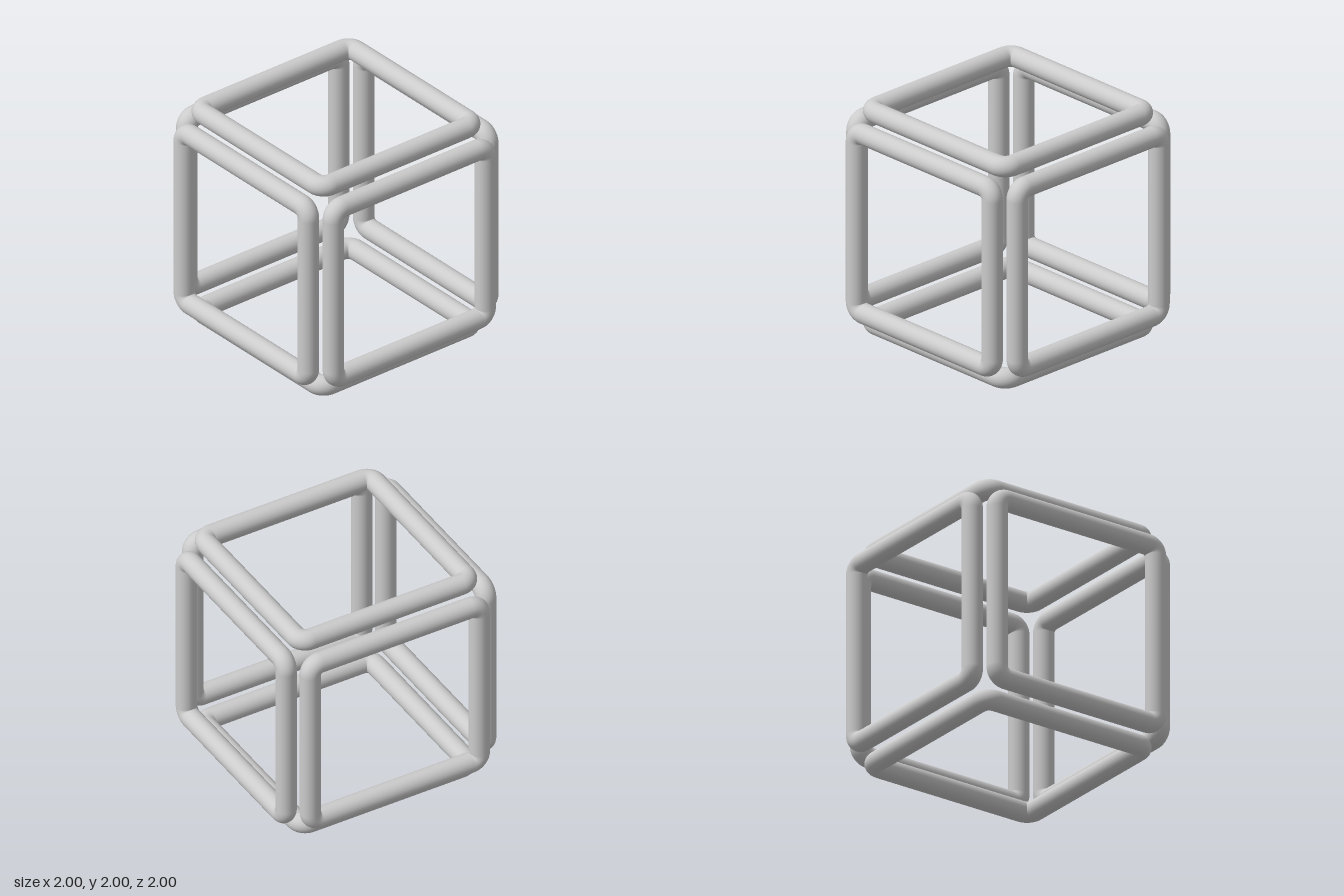
import * as THREE from 'three';
import { mergeGeometries } from 'three/addons/utils/BufferGeometryUtils.js';

const R = 0.085;          // tube radius
const INNER = 0.69;       // half width of the square opening
const OFFSET = 1 - R;     // distance of each frame's plane from the cube centre

// Square ring of round tube in the XY plane: four bars joined by quarter bends
function squareFrameGeometry() {
  const parts = [];
  for (let i = 0; i < 4; i++) {
    const bar = new THREE.CylinderGeometry(R, R, 2 * INNER, 32, 1, true);
    bar.translate(INNER + R, 0, 0);
    const bend = new THREE.TorusGeometry(R, R, 32, 12, Math.PI / 2);
    bend.translate(INNER, INNER, 0);
    for (const part of [bar, bend]) parts.push(part.rotateZ(i * Math.PI / 2));
  }
  return mergeGeometries(parts);
}

export function createModel() {
  const model = new THREE.Group();
  model.name = 'openCube';
  const material = new THREE.MeshStandardMaterial({ color: 0xcccccc });
  const geometry = squareFrameGeometry();

  // One separate frame per cube face: name, rotation about x, rotation about y
  const q = Math.PI / 2;
  const faces = [
    ['frontFrame', 0, 0],
    ['leftFrame', 0, q],
    ['backFrame', 0, 2 * q],
    ['rightFrame', 0, -q],
    ['topFrame', -q, 0],
    ['bottomFrame', q, 0],
  ];
  for (const [name, rx, ry] of faces) {
    const frame = new THREE.Mesh(geometry, material);
    frame.name = name;
    frame.rotation.set(rx, ry, 0);
    frame.translateZ(OFFSET);
    frame.position.y += 1;
    model.add(frame);
  }
  return model;
}
